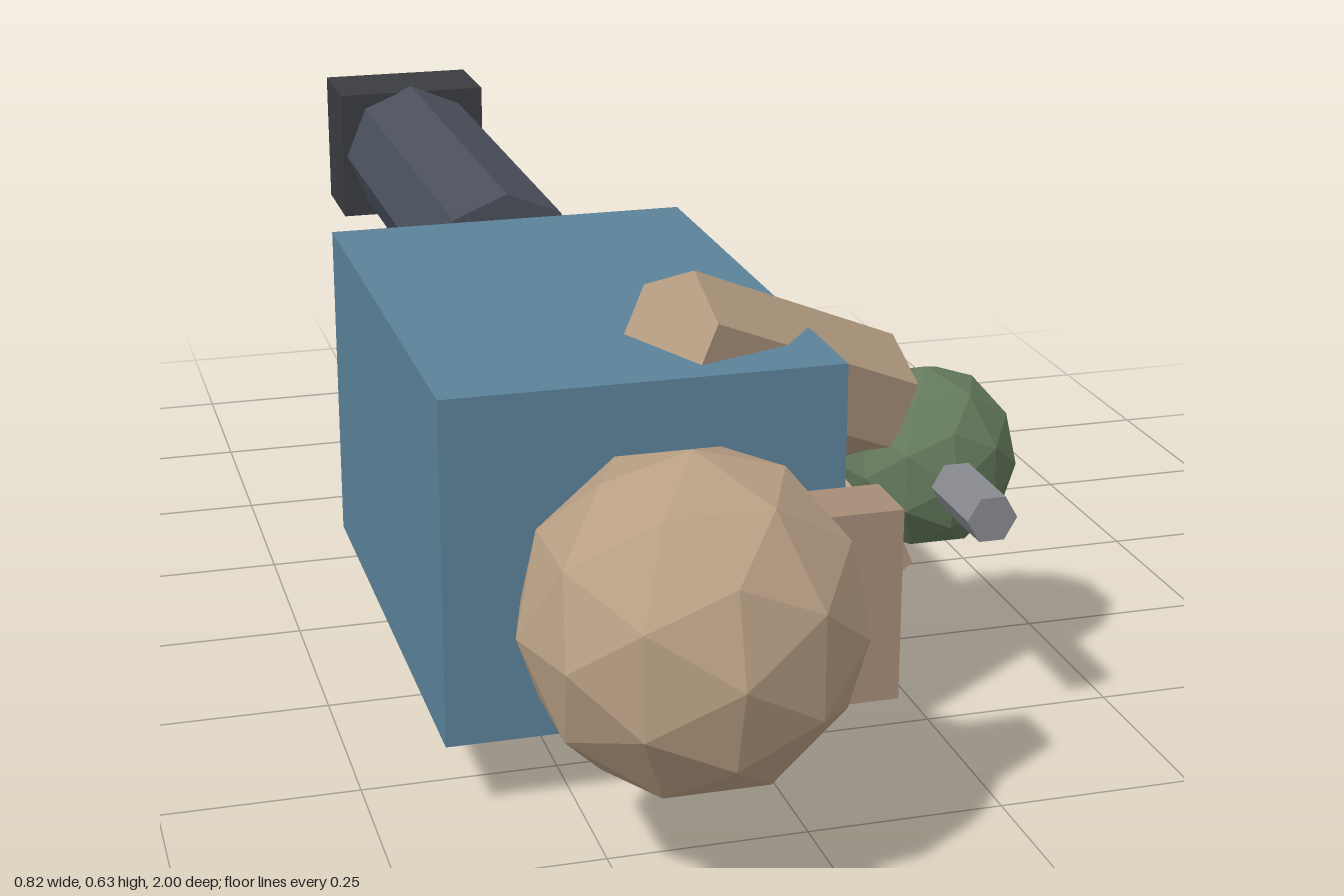
import * as THREE from 'three';

const mat = (color) => new THREE.MeshStandardMaterial({ color, flatShading: true });
const V = (x, y, z) => new THREE.Vector3(x, y, z);

export function createModel() {
  const skin = mat(0xb89f84), snoutSkin = mat(0xa68c78), shirt = mat(0x5b8299);
  const trousers = mat(0x4a505c), boots = mat(0x3a3c40);
  const green = mat(0x657a5c), metal = mat(0x888a90);

  // The figure is built upright (y towards the head, z forward), then laid down
  const figure = new THREE.Group();
  figure.name = 'figure';

  const add = (name, geometry, material, x, y, z) => {
    const mesh = new THREE.Mesh(geometry, material);
    mesh.name = name;
    mesh.position.set(x, y, z);
    figure.add(mesh);
    return mesh;
  };
  const box = (w, h, d) => new THREE.BoxGeometry(w, h, d);

  // Torso and head
  add('torso', box(0.443, 0.74, 0.502), shirt, 0, 0.23, 0);
  add('head', new THREE.IcosahedronGeometry(0.206, 1), skin, 0, 0.794, 0);
  add('snout', box(0.236, 0.085, 0.088), snoutSkin, 0, 0.777, 0.199);

  for (const side of [1, -1]) {
    const label = side > 0 ? 'left' : 'right';

    // Straight legs with block feet
    add(label + 'Leg', new THREE.CylinderGeometry(0.111, 0.111, 0.72, 8), trousers, side * 0.147, -0.5, 0);
    add(label + 'Foot', box(0.205, 0.146, 0.236), boots, side * 0.147, -0.927, 0);

    // Arms reaching from the shoulders to the held ball
    const shoulder = V(side * 0.236, 0.487, 0.057);
    const hand = V(side * 0.089, 0.36, 0.365);
    const reach = hand.clone().sub(shoulder);
    const mid = shoulder.clone().add(hand).multiplyScalar(0.5);
    const arm = add(label + 'Arm', new THREE.CylinderGeometry(0.088, 0.088, reach.length(), 6), skin, mid.x, mid.y, mid.z);
    arm.quaternion.setFromUnitVectors(V(0, 1, 0), reach.normalize());
  }

  // Held ball with its short fuse
  add('ball', new THREE.IcosahedronGeometry(0.123, 1), green, 0, 0.36, 0.446);
  add('fuse', new THREE.CylinderGeometry(0.033, 0.033, 0.124, 6), metal, 0, 0.538, 0.446);

  // Lay the figure on its side: head to +z, chest to +x
  figure.quaternion.setFromRotationMatrix(
    new THREE.Matrix4().makeBasis(V(0, 1, 0), V(0, 0, 1), V(1, 0, 0)));
  figure.position.set(-0.16, 0.32, 0);

  const model = new THREE.Group();
  model.name = 'lyingFigure';
  model.add(figure);
  return model;
}
